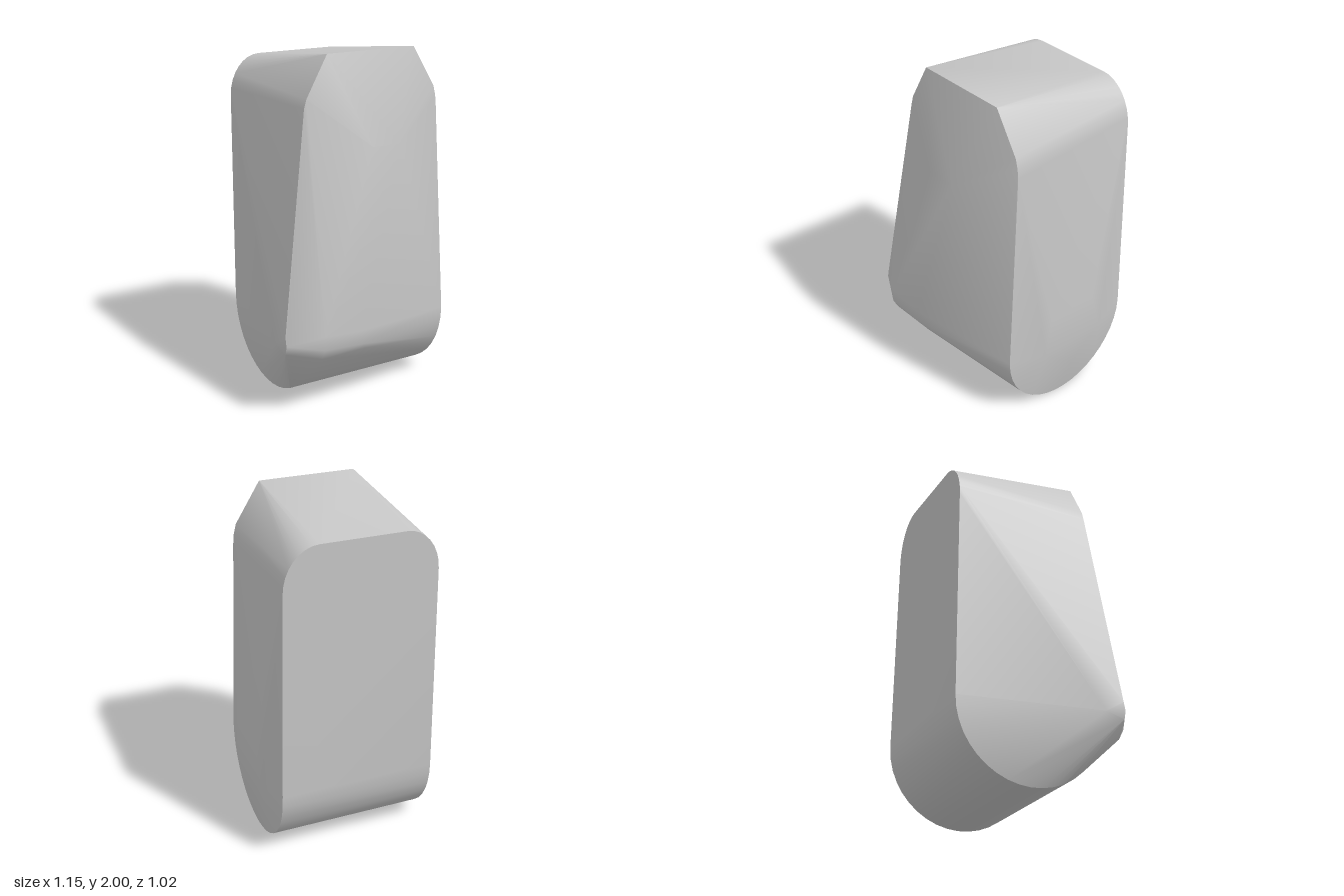
import * as THREE from 'three';
import { ConvexGeometry } from 'three/addons/geometries/ConvexGeometry.js';
import { toCreasedNormals } from 'three/addons/utils/BufferGeometryUtils.js';

const V = (x, y, z) => new THREE.Vector3(x, y, z);

export function createModel() {
  const group = new THREE.Group();
  const grey = new THREE.MeshStandardMaterial({ color: 0xc6c6c6 });
  grey.name = 'light stone grey';
  const points = [];

  // Rounded underside running across the width; the left end flares forward
  const steps = 20, r = 0.44, zc = -0.07;
  for (let i = 0; i <= steps; i++) {
    const a = Math.PI * i / steps;
    const y = r - r * Math.sin(a), z = zc - r * Math.cos(a);
    points.push(V(0.52, y, z));
    if (z < 0.27) points.push(V(-0.39, y + 0.005, z));
  }

  // Rounded upper corners of the flat back
  for (let i = 0; i <= 8; i++) {
    const a = Math.PI / 2 * i / 8;
    const c = Math.cos(a), s = Math.sin(a);
    points.push(V(0.29 + 0.205 * c, 1.65 + 0.255 * s, -0.51));
    points.push(V(-0.2 - 0.19 * c, 1.67 + 0.235 * s, -0.51));
  }

  points.push(
    // Front top rim with chamfered corners
    V(-0.24, 2, 0.3), V(0.33, 2, 0.3),
    V(-0.37, 1.77, 0.3), V(-0.385, 1.72, 0.3), V(-0.392, 1.67, 0.3),
    V(0.475, 1.765, 0.3), V(0.489, 1.71, 0.3), V(0.495, 1.65, 0.3),
    // Front ridge and lower brow
    V(-0.04, 1.5, 0.45), V(0.14, 1.5, 0.45),
    V(-0.39, 0.5, 0.51), V(-0.39, 0.42, 0.51), V(-0.39, 0.36, 0.48),
    V(-0.15, 0.48, 0.505), V(-0.13, 0.4, 0.5), V(-0.1, 0.36, 0.475),
    // Flared lower corner
    V(-0.575, 0.4, 0.4), V(-0.575, 0.45, 0.41), V(-0.575, 0.5, 0.4), V(-0.575, 0.43, 0.29),
    // Shallow bulge of the opposite side
    V(0.575, 0.65, -0.22), V(0.575, 0.65, 0.1), V(0.575, 0.4, -0.29),
    V(0.575, 0.4, 0.14), V(0.575, 0.23, -0.07)
  );

  const geometry = toCreasedNormals(new ConvexGeometry(points), THREE.MathUtils.degToRad(40));
  const body = new THREE.Mesh(geometry, grey);
  body.name = 'body';
  group.add(body);
  return group;
}
